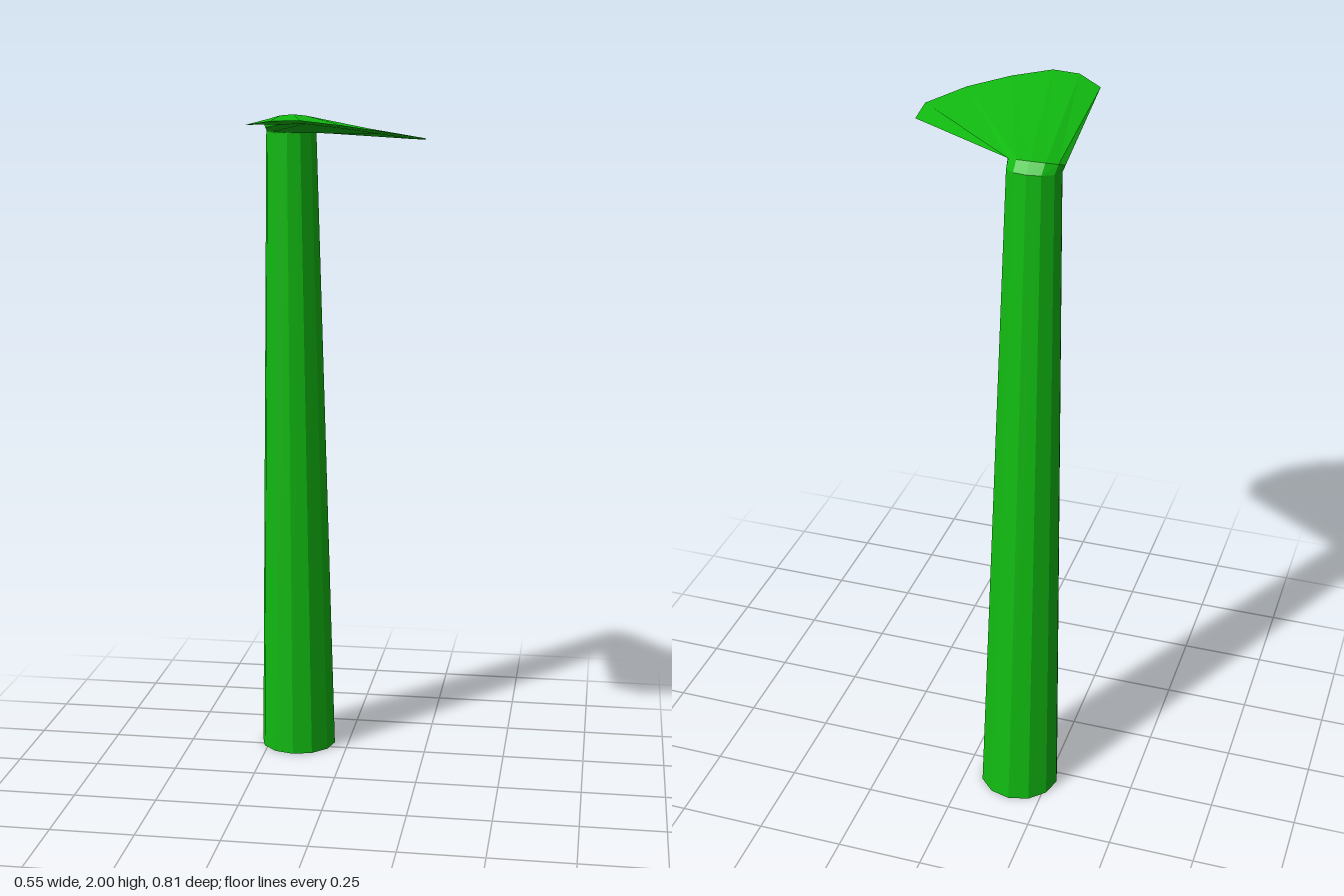
import * as THREE from 'three';

const SIDES = 12;

// Twelve-sided ring; tilt raises its back and lowers its front. Runs left, back, right, front.
function ring(cx, y, cz, rx, rz, tilt) {
  return Array.from({ length: SIDES }, (_, k) => {
    const a = (k / SIDES) * Math.PI * 2;
    return [cx - rx * Math.cos(a), y + tilt * Math.sin(a), cz - rz * Math.sin(a)];
  });
}

// Skin between consecutive rings, as separate triangles for flat facets.
function loft(rings, extra = []) {
  const pos = [];
  const tri = (...p) => p.forEach((v) => pos.push(...v));
  for (let r = 0; r < rings.length - 1; r++) {
    const lo = rings[r], hi = rings[r + 1];
    for (let k = 0; k < SIDES; k++) {
      const n = (k + 1) % SIDES;
      tri(lo[k], hi[k], lo[n]);
      tri(lo[n], hi[k], hi[n]);
    }
  }
  extra.forEach((t) => tri(...t));
  const g = new THREE.BufferGeometry();
  g.setAttribute('position', new THREE.Float32BufferAttribute(pos, 3));
  g.computeVertexNormals();
  return g;
}

export function createModel() {
  const group = new THREE.Group();
  const mat = new THREE.MeshStandardMaterial({
    color: 0x11bb11, flatShading: true, side: THREE.DoubleSide,
  });
  const add = (name, geometry) => {
    const m = new THREE.Mesh(geometry, mat);
    m.name = name;
    group.add(m);
  };

  // Tapered, leaning stem with a closed foot and a bent neck
  const base = ring(-0.16, 0, -0.29, 0.117, 0.117, 0);
  const top = ring(-0.16, 1.95, -0.203, 0.075, 0.073, 0.012);
  const neck = ring(-0.162, 1.966, -0.19, 0.078, 0.06, 0.024);
  const foot = [];
  for (let k = 1; k < SIDES - 1; k++) foot.push([base[0], base[k], base[k + 1]]);
  add('stem', loft([base, top, neck], foot));

  // Leaf rim: seven outer points, then five set just inside for the underside
  const rim = [
    [-0.187, 1.985, 0.345], [-0.11, 1.998, 0.4], [-0.03, 2, 0.405], [0.08, 1.985, 0.36],
    [0.19, 1.965, 0.29], [0.277, 1.945, 0.18], [0.27, 1.936, 0.08],
  ];
  const mid = [0.04, 1.958, 0.21];
  for (let k = 5; k > 0; k--) {
    rim.push(rim[k].map((v, i) => v + (mid[i] - v) * 0.15 - (i === 1 ? 0.004 : 0)));
  }

  // Thin strip closing the leaf's edge
  const edge = [];
  for (let k = 0; k < 6; k++) {
    const a = rim[k], b = rim[k + 1];
    const c = rim[(SIDES - k) % SIDES], d = rim[SIDES - k - 1];
    if (k > 0) edge.push([a, c, b]);
    if (k < 5) edge.push([b, c, d]);
  }
  add('leaf', loft([neck, rim], edge));
  return group;
}
